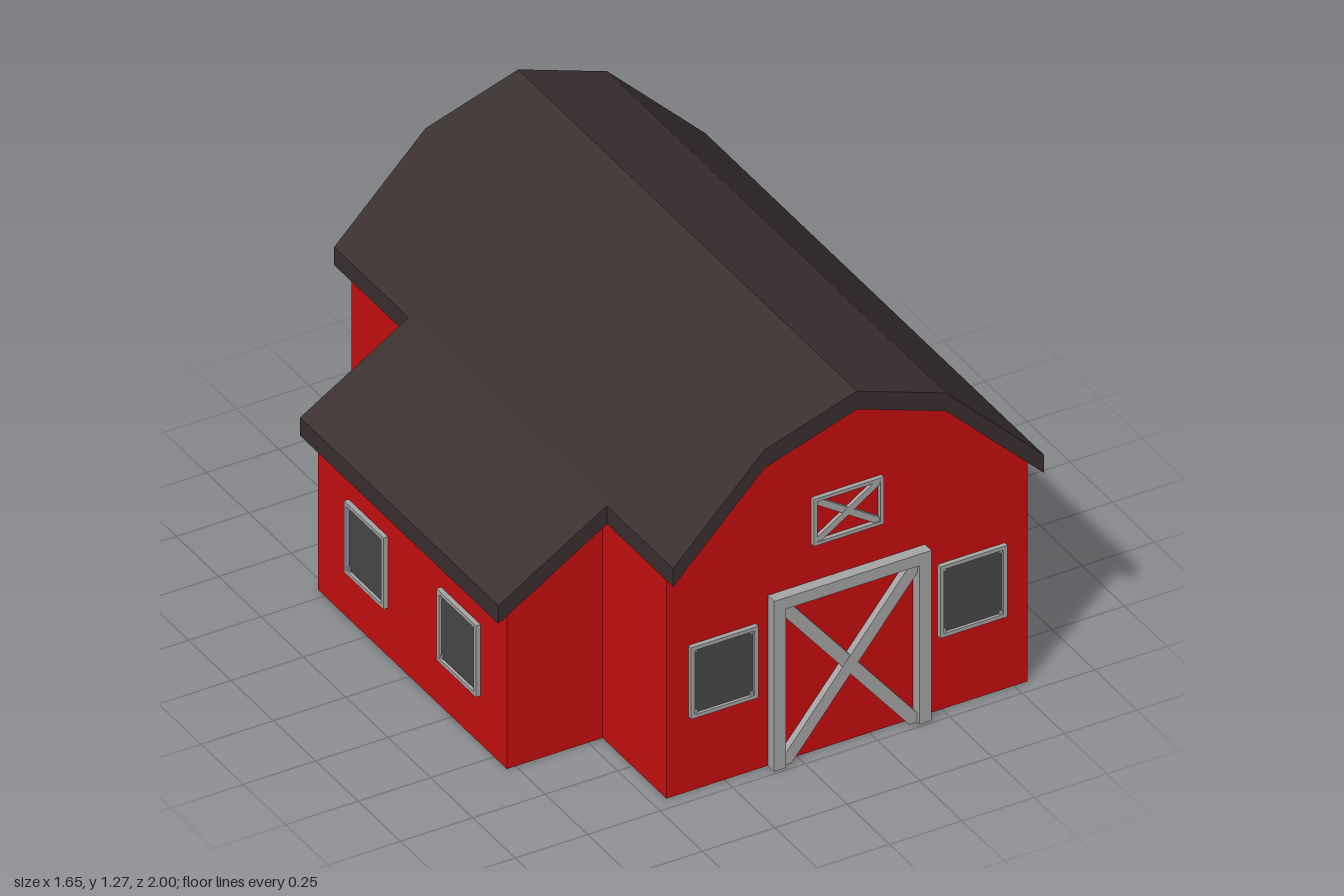
import * as THREE from 'three';

const mat = (name, color) => Object.assign(new THREE.MeshStandardMaterial({ color }), { name });

export function createModel() {
  const red = mat('barn red', 0xc80e0e);
  const dark = mat('roof brown', 0x3a3030);
  const grey = mat('trim grey', 0xa6a6a6);
  const pane = mat('window glass', 0x484848);
  const model = new THREE.Group();
  model.name = 'barn';

  const toShape = (pts) => new THREE.Shape(pts.map(([x, y]) => new THREE.Vector2(x, y)));

  // Extrude an XY outline from z0 to z1
  function prism(name, shape, z0, z1, material, parent = model) {
    const geo = new THREE.ExtrudeGeometry(shape, { depth: z1 - z0, bevelEnabled: false });
    geo.translate(0, 0, z0);
    const mesh = new THREE.Mesh(geo, material);
    mesh.name = name;
    parent.add(mesh);
    return mesh;
  }

  // Roof slab of constant vertical thickness below its top line
  const T = 0.065;
  const drop = (pts) => pts.map(([x, y]) => [x, y - T]);
  const slab = (pts) => toShape([...pts, ...drop(pts).reverse()]);

  // Main hall and its gambrel roof
  const middle = [[-0.14, 1.172], [0.18, 1.275], [0.487, 1.165]];
  const hallTop = drop([[-0.45, 0.857], ...middle, [0.797, 0.858]]);
  prism('hallWalls', toShape([[-0.45, 0], ...hallTop, [0.797, 0]]), -0.905, 0.952, red);
  prism('hallRoof', slab([[-0.455, 0.853], ...middle, [0.825, 0.83]]), -1, 1, dark);

  // Side annex with a single-pitch roof
  prism('annexWalls', toShape([[-0.78, 0], [-0.78, 0.588], [-0.45, 0.79], [-0.45, 0]]), -0.54, 0.575, red);
  prism('annexRoof', slab([[-0.83, 0.622], [-0.45, 0.857]]), -0.56, 0.61, dark);

  const rect = (x0, y0, x1, y1) => [[x0, y0], [x1, y0], [x1, y1], [x0, y1]];

  // Diagonal brace filling a rectangle corner to corner
  function brace(parent, x0, y0, x1, y1, width, depth, flip) {
    const w = x1 - x0, h = y1 - y0, d = Math.hypot(w, h);
    const a = (width / 2) * d / h, b = (width / 2) * d / w;
    let pts = [[x0, y0], [x0 + a, y0], [x1, y1 - b], [x1, y1], [x1 - a, y1], [x0, y0 + b]];
    if (flip) pts = pts.map(([x, y]) => [x0 + x1 - x, y]);
    prism(flip ? 'fallingBrace' : 'risingBrace', toShape(pts), 0, depth, grey, parent);
  }

  // Cross-braced door: frame sides, top and optional sill
  function crossDoor(name, x0, y0, x1, y1, f, sill, braceWidth, depth, braceDepth) {
    const group = new THREE.Group();
    group.name = name;
    group.position.z = 0.952;
    const yb = y0 + sill;
    const frame = toShape(rect(x0, y0, x1, y1));
    if (sill > 0) {
      frame.holes.push(new THREE.Path(toShape(rect(x0 + f, yb, x1 - f, y1 - f)).getPoints()));
      prism('frame', frame, 0, depth, grey, group);
    } else {
      prism('frame', toShape([[x0, y0], [x0 + f, y0], [x0 + f, y1 - f], [x1 - f, y1 - f],
        [x1 - f, y0], [x1, y0], [x1, y1], [x0, y1]]), 0, depth, grey, group);
    }
    brace(group, x0 + f, yb, x1 - f, y1 - f, braceWidth, braceDepth, false);
    brace(group, x0 + f, yb, x1 - f, y1 - f, braceWidth, braceDepth - 0.001, true);
    model.add(group);
  }
  crossDoor('barnDoor', -0.1, 0, 0.443, 0.61, 0.041, 0, 0.042, 0.038, 0.024);
  crossDoor('loftDoor', 0.05, 0.743, 0.292, 0.911, 0.012, 0.012, 0.022, 0.015, 0.012);

  // Framed window with glass and small corner blocks
  function windowUnit(name, x, y, z, turn) {
    const group = new THREE.Group();
    group.name = name;
    group.position.set(x, y, z);
    group.rotation.y = turn;
    const w = 0.116, h = 0.128, f = 0.013;
    const frame = toShape(rect(-w, -h, w, h));
    frame.holes.push(new THREE.Path(toShape(rect(f - w, f - h, w - f, h - f)).getPoints()));
    prism('frame', frame, 0, 0.016, grey, group);
    prism('glass', toShape(rect(f - w, f - h, w - f, h - f)), 0, 0.006, pane, group);
    for (const sx of [-1, 1]) for (const sy of [-1, 1]) {
      const block = new THREE.Mesh(new THREE.BoxGeometry(0.012, 0.012, 0.009), grey);
      block.name = 'cornerBlock';
      block.position.set(sx * (w - f - 0.006), sy * (h - f - 0.006), 0.0055);
      group.add(block);
    }
    model.add(group);
  }
  for (const x of [-0.258, 0.602]) windowUnit('frontWindow', x, 0.395, 0.952, 0);
  for (const z of [0.642, 0.248, -0.62]) windowUnit('leftWindow', 0.797, 0.395, z, Math.PI / 2);
  for (const z of [-0.243, 0.303]) windowUnit('rightWindow', -0.78, 0.3, z, -Math.PI / 2);

  return model;
}
